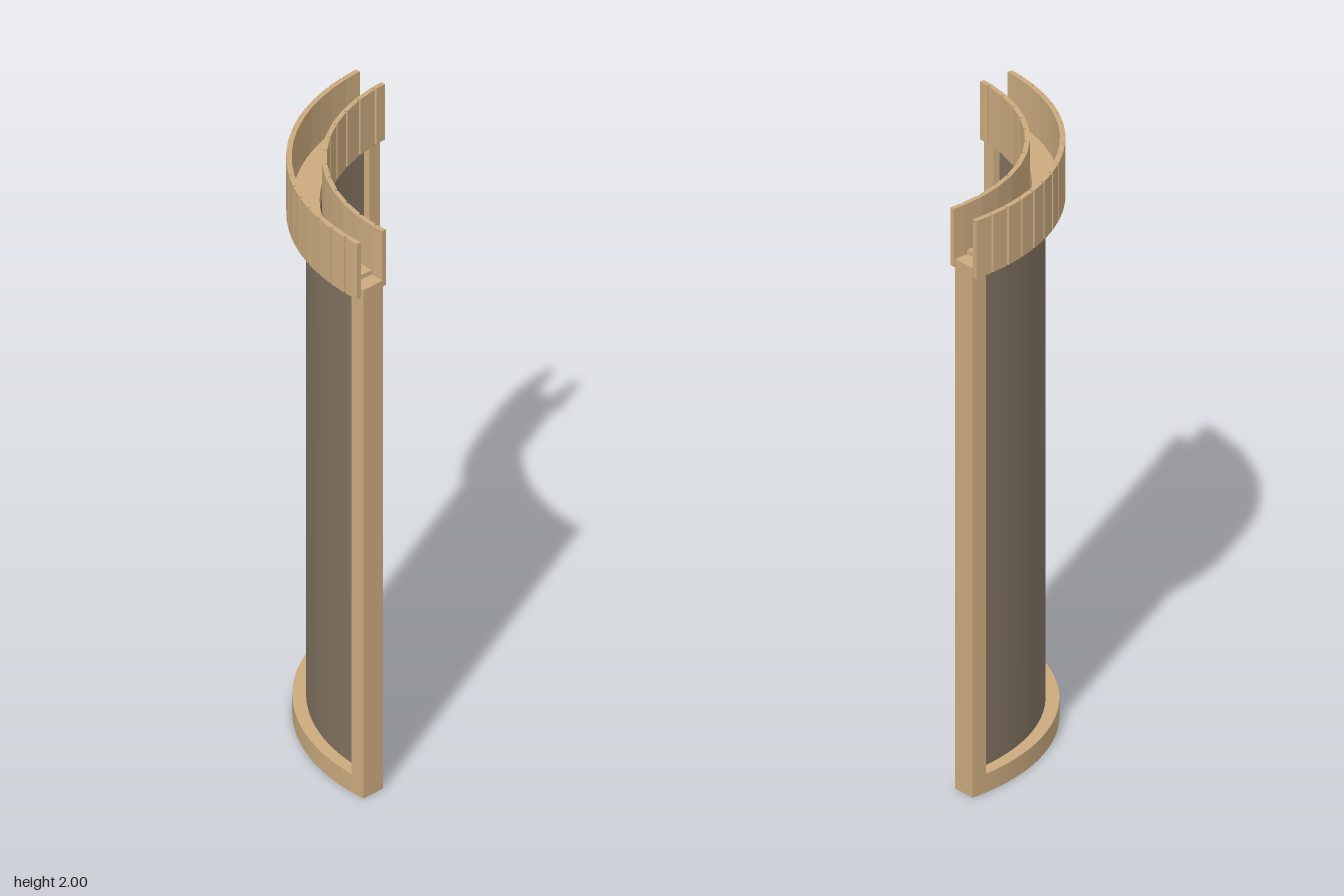
import * as THREE from 'three';
import { toCreasedNormals } from 'three/addons/utils/BufferGeometryUtils.js';

// Quarter-circle wall: every part is an arc about this centre (x, z).
const CX = 0.375, CZ = -0.38;
const RAD = Math.PI / 180;

// Plan point at radius r, angle in degrees (0 = +x end, 90 = -z end).
// Plan y is -z, so that the extrusion can be stood upright.
function at(r, deg) {
  return new THREE.Vector2(CX - r * Math.sin(deg * RAD), -(CZ + r * Math.cos(deg * RAD)));
}

function arc(r, a0, a1, steps) {
  return Array.from({ length: steps + 1 }, (_, i) => at(r, a0 + (a1 - a0) * i / steps));
}

// Extrude a plan outline from y0 to y1.
function prism(name, points, y0, y1, material, smooth = false) {
  let geometry = new THREE.ExtrudeGeometry(new THREE.Shape(points), {
    depth: y1 - y0, bevelEnabled: false,
  });
  geometry.rotateX(-Math.PI / 2);
  geometry.translate(0, y0, 0);
  if (smooth) geometry = toCreasedNormals(geometry, 0.3);
  const mesh = new THREE.Mesh(geometry, material);
  mesh.name = name;
  return mesh;
}

function sector(name, r0, r1, a0, a1, y0, y1, material, steps = 32) {
  const points = [...arc(r1, a0, a1, steps), ...arc(r0, a1, a0, steps)];
  return prism(name, points, y0, y1, material, true);
}

// Band of flat boards, with narrow grooves on the exposed face.
function boardBand(name, exposedR, backR, first, last, count, y0, y1, material) {
  const joints = Array.from({ length: count + 1 }, (_, i) => first + (last - first) * i / count);
  const half = 0.0045 / exposedR / RAD;
  const grooveR = exposedR + (backR - exposedR) * 0.55;
  const face = [at(exposedR, 0.8)];
  const back = [at(backR, 0.8)];
  for (const a of joints) {
    face.push(at(exposedR, a - half), at(grooveR, a - half * 0.8),
      at(grooveR, a + half * 0.8), at(exposedR, a + half));
    back.push(at(backR, a));
  }
  face.push(at(exposedR, 90));
  back.push(at(backR, 90));
  return prism(name, [...face, ...back.reverse()], y0, y1, material);
}

export function createModel() {
  const wood = new THREE.MeshStandardMaterial({ color: 0xcaaa7e });
  wood.name = 'light wood';
  const infill = new THREE.MeshStandardMaterial({ color: 0x827361 });
  infill.name = 'taupe panel';

  const model = new THREE.Group();
  model.name = 'curvedWallPanel';

  // Frame: two end posts joined by curved rails
  const IN = 0.653, OUT = 0.738, POST = 4.3;
  model.add(
    sector('rightEndPost', IN, OUT, 0, POST, 0, 1.83, wood, 2),
    sector('leftEndPost', IN, OUT, 90 - POST, 90, 0, 1.83, wood, 2),
    sector('bottomRail', IN, OUT, POST, 90 - POST, 0, 0.065, wood),
    sector('topRail', IN, OUT, POST, 90 - POST, 1.792, 1.845, wood),
  );

  // Curved infill, set back from both faces of the frame
  model.add(sector('infillPanel', 0.675, 0.695, POST, 90 - POST, 0.06, 1.8, infill, 40));

  // Upright boards rising on both sides of the top rail
  model.add(
    boardBand('outerBoards', 0.757, 0.74, 5, 85, 15, 1.8, 2, wood),
    boardBand('innerBoards', 0.631, 0.647, 4.5, 86, 11, 1.8, 2, wood),
  );
  return model;
}
